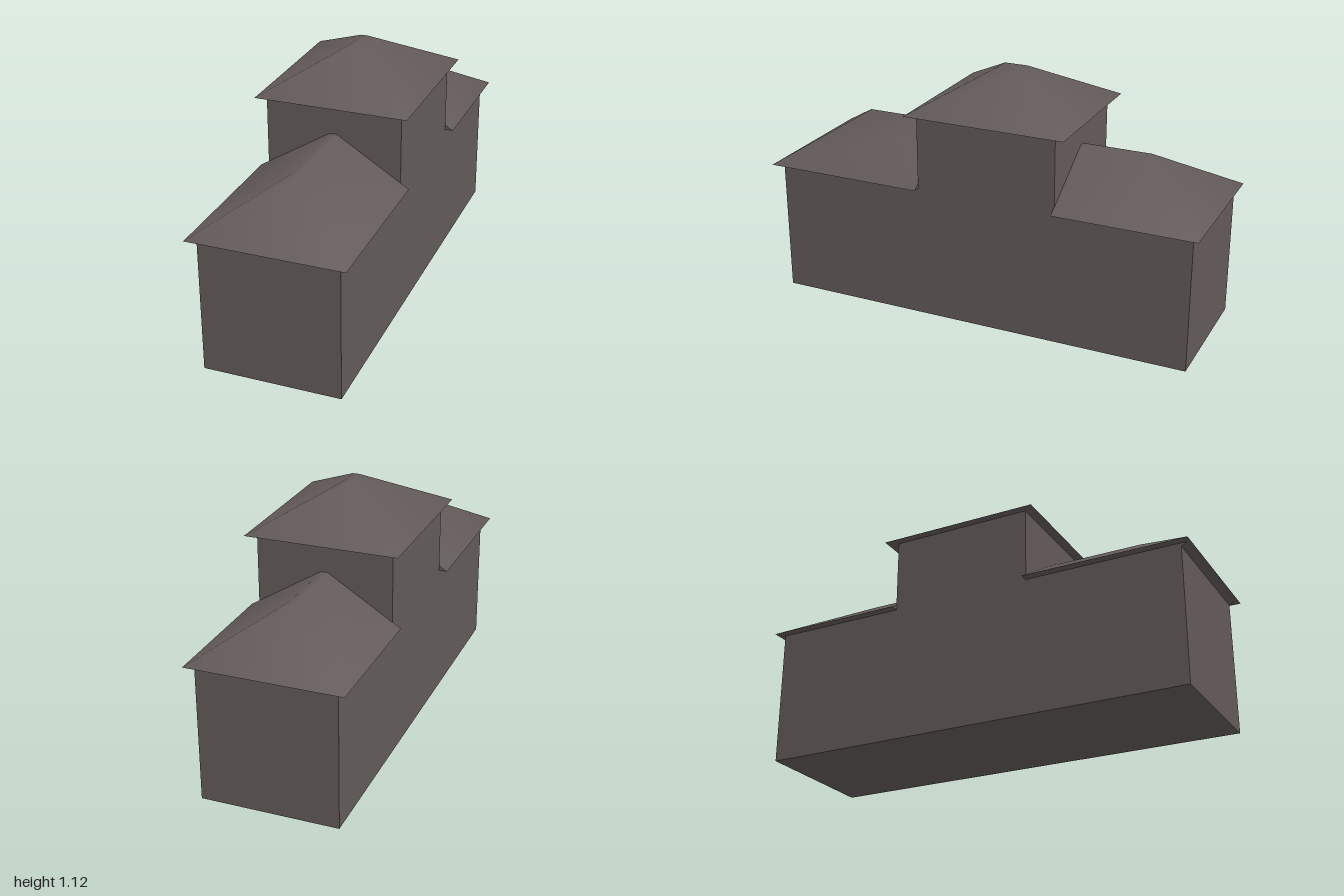
import * as THREE from 'three';
import { toCreasedNormals } from 'three/addons/utils/BufferGeometryUtils.js';

const HALF_WIDTH = 0.302;
const EAVE = 0.339;
const RIDGE = 0.015;

// Closed hip roof: an eave rectangle rising to a narrow ridge rectangle
function roofGeometry(y0, y1, eaveBack, eaveFront, ridgeBack, ridgeFront) {
  const ring = (x, y, back, front) => [-x, y, front, x, y, front, x, y, back, -x, y, back];
  const geometry = new THREE.BufferGeometry();
  geometry.setAttribute('position', new THREE.Float32BufferAttribute([
    ...ring(EAVE, y0, eaveBack, eaveFront),
    ...ring(RIDGE, y1, ridgeBack, ridgeFront),
  ], 3));
  const index = [4, 5, 6, 4, 6, 7, 0, 2, 1, 0, 3, 2]; // ridge and soffit
  for (let i = 0; i < 4; i++) {
    const j = (i + 1) % 4;
    index.push(i, j, j + 4, i, j + 4, i + 4);
  }
  geometry.setIndex(index);
  // Soft hips, crisp eaves
  return toCreasedNormals(geometry, THREE.MathUtils.degToRad(50));
}

export function createModel() {
  const group = new THREE.Group();
  const stone = new THREE.MeshStandardMaterial({ color: 0x625a59 });
  stone.name = 'greyBrown';

  const add = (name, geometry) => {
    const mesh = new THREE.Mesh(geometry, stone);
    mesh.name = name;
    group.add(mesh);
  };

  // Side profile (z, y) of the hall with its raised middle, extruded across x
  const profile = new THREE.Shape([
    [-0.97, 0], [0.96, 0], [0.96, 0.592], [0.985, 0.607], [0.27, 0.607],
    [0.27, 0.94], [-0.37, 0.94], [-0.37, 0.607], [-0.97, 0.607],
  ].map(([z, y]) => new THREE.Vector2(z, y)));
  const walls = new THREE.ExtrudeGeometry(profile, { depth: HALF_WIDTH * 2, bevelEnabled: false });
  walls.rotateY(-Math.PI / 2).translate(HALF_WIDTH, 0, 0);
  add('walls', walls);

  // Wing roofs run into the tower; the tower roof is hipped at both ends
  add('frontRoof', roofGeometry(0.608, 0.81, 0.268, 1, 0.268, 0.68));
  add('backRoof', roofGeometry(0.608, 0.81, -1, -0.368, -0.68, -0.368));
  add('towerRoof', roofGeometry(0.941, 1.122, -0.42, 0.315, -0.105, 0));

  return group;
}
